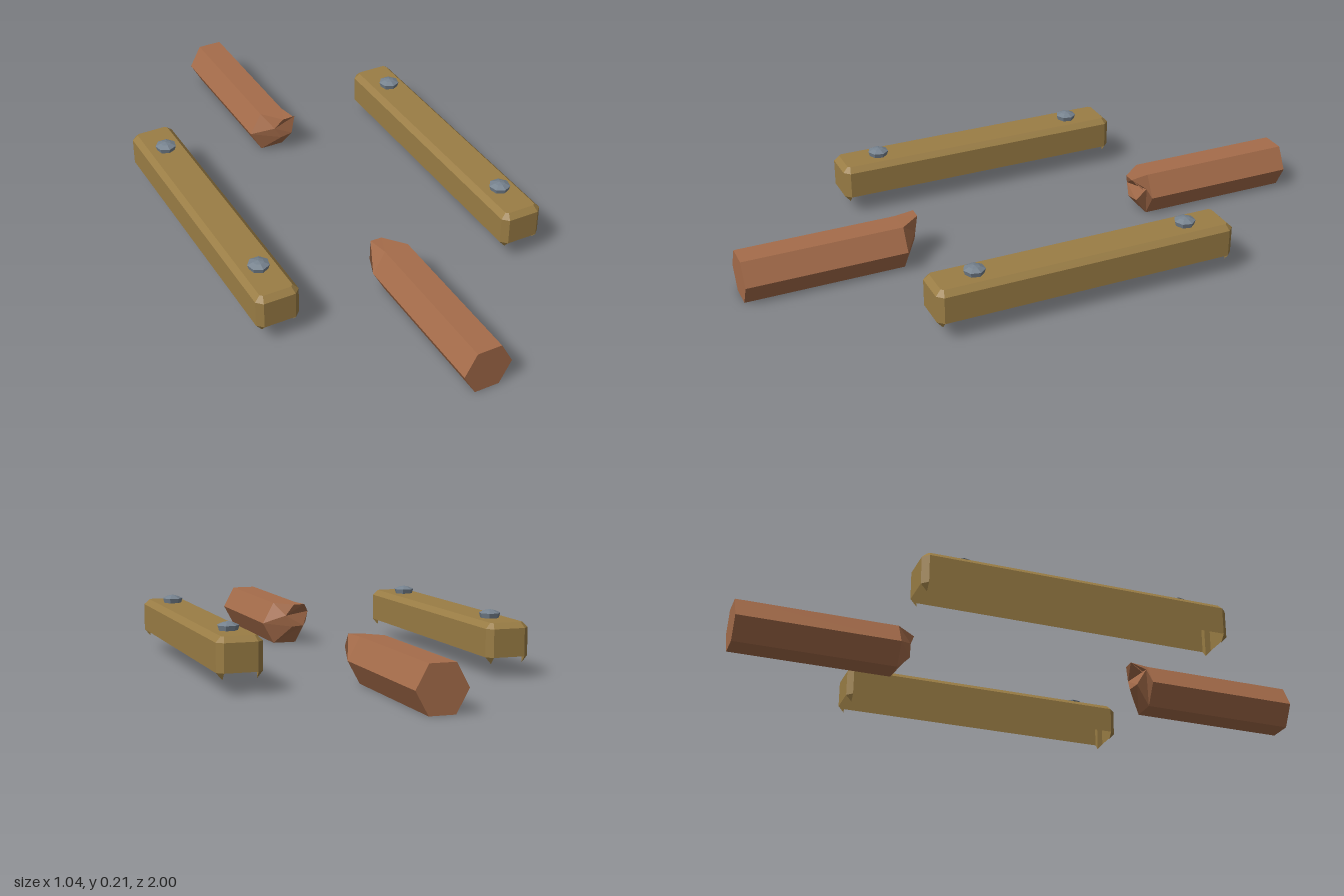
import * as THREE from 'three';

const wood = new THREE.MeshStandardMaterial({ color: 0xa56c4a, flatShading: true });
wood.name = 'reddish wood';
const brass = new THREE.MeshStandardMaterial({ color: 0x9a7d45, flatShading: true, side: THREE.DoubleSide });
brass.name = 'olive casing';
const steel = new THREE.MeshStandardMaterial({ color: 0x76828e, flatShading: true });
steel.name = 'grey steel';

// Skin a list of equal-length rings; optionally close the first and last.
function loft(rings, capStart, capEnd) {
  const n = rings[0].length, index = [];
  for (let r = 0; r < rings.length - 1; r++) {
    for (let i = 0; i < n; i++) {
      const a = r * n + i, b = r * n + (i + 1) % n;
      index.push(a, b, b + n, a, b + n, a + n);
    }
  }
  const last = (rings.length - 1) * n;
  for (let i = 1; i < n - 1; i++) {
    if (capStart) index.push(0, i + 1, i);
    if (capEnd) index.push(last, last + i, last + i + 1);
  }
  const g = new THREE.BufferGeometry();
  g.setAttribute('position', new THREE.Float32BufferAttribute(rings.flat(2), 3));
  g.setIndex(index);
  const flat = g.toNonIndexed();
  flat.computeVertexNormals();
  return flat;
}

function addMesh(parent, name, geometry, material) {
  const mesh = new THREE.Mesh(geometry, material);
  mesh.name = name;
  parent.add(mesh);
  return mesh;
}

// Hexagonal bar whose inner end tapers to a small off-centre facet
function barGeometry() {
  const hex = z => [[0.083, 0.075], [0.042, 0.15], [-0.042, 0.15],
    [-0.083, 0.075], [-0.042, 0], [0.042, 0]].map(([x, y]) => [x, y, z]);
  const tip = [[0.011, 0.107, 0.403], [-0.015, 0.149, 0.385], [-0.055, 0.15, 0.385],
    [-0.083, 0.118, 0.43], [-0.058, 0.068, 0.405], [-0.013, 0.066, 0.398]];
  return loft([tip, hex(0.455), hex(1)], true, true);
}

// Chamfered rectangle at height y, with half sizes w and l
function octagon(w, l, y, c) {
  return [[w, l - c], [w, c - l], [w - c, -l], [c - w, -l],
    [-w, c - l], [-w, l - c], [c - w, l], [w - c, l]].map(([x, z]) => [x, y, z]);
}

// Hollow casing, open below, with pointed corner posts and two bolts
function createCasing() {
  const group = new THREE.Group();
  const w = 0.074, l = 0.518, c = 0.02, low = 0.068;
  addMesh(group, 'casingShell', loft([
    octagon(w, l, low, c), octagon(w, l, 0.16, c), octagon(w - 0.018, l - 0.018, 0.178, 0.008),
  ], false, true), brass);

  for (const sx of [-1, 1]) for (const sz of [-1, 1]) {
    const foot = [[w, low, l - c], [w - c, 0.045, l - c], [w - c, low, l]]
      .map(([x, y, z]) => [x * sx, y, z * sz]);
    const head = foot.map(([x, , z]) => [x, 0.16, z]);
    addMesh(group, 'cornerPost', loft([foot, head], true, true), brass);
  }

  const profile = [[0.031, 0], [0.036, 0.017], [0.018, 0.025], [0, 0.029]]
    .map(([x, y]) => new THREE.Vector2(x, y));
  for (const z of [-0.37, 0.37]) {
    const bolt = addMesh(group, 'bolt', new THREE.LatheGeometry(profile, 7), steel);
    bolt.position.set(0, 0.177, z);
  }
  return group;
}

export function createModel() {
  const model = new THREE.Group();
  model.name = 'barAndCasingSet';

  // Front and back bars, half a turn apart
  addMesh(model, 'frontBar', barGeometry(), wood);
  addMesh(model, 'backBar', barGeometry(), wood).rotation.y = Math.PI;

  // Side casings
  for (const [name, x] of [['leftCasing', 0.445], ['rightCasing', -0.445]]) {
    const casing = createCasing();
    casing.name = name;
    casing.position.x = x;
    model.add(casing);
  }
  return model;
}
